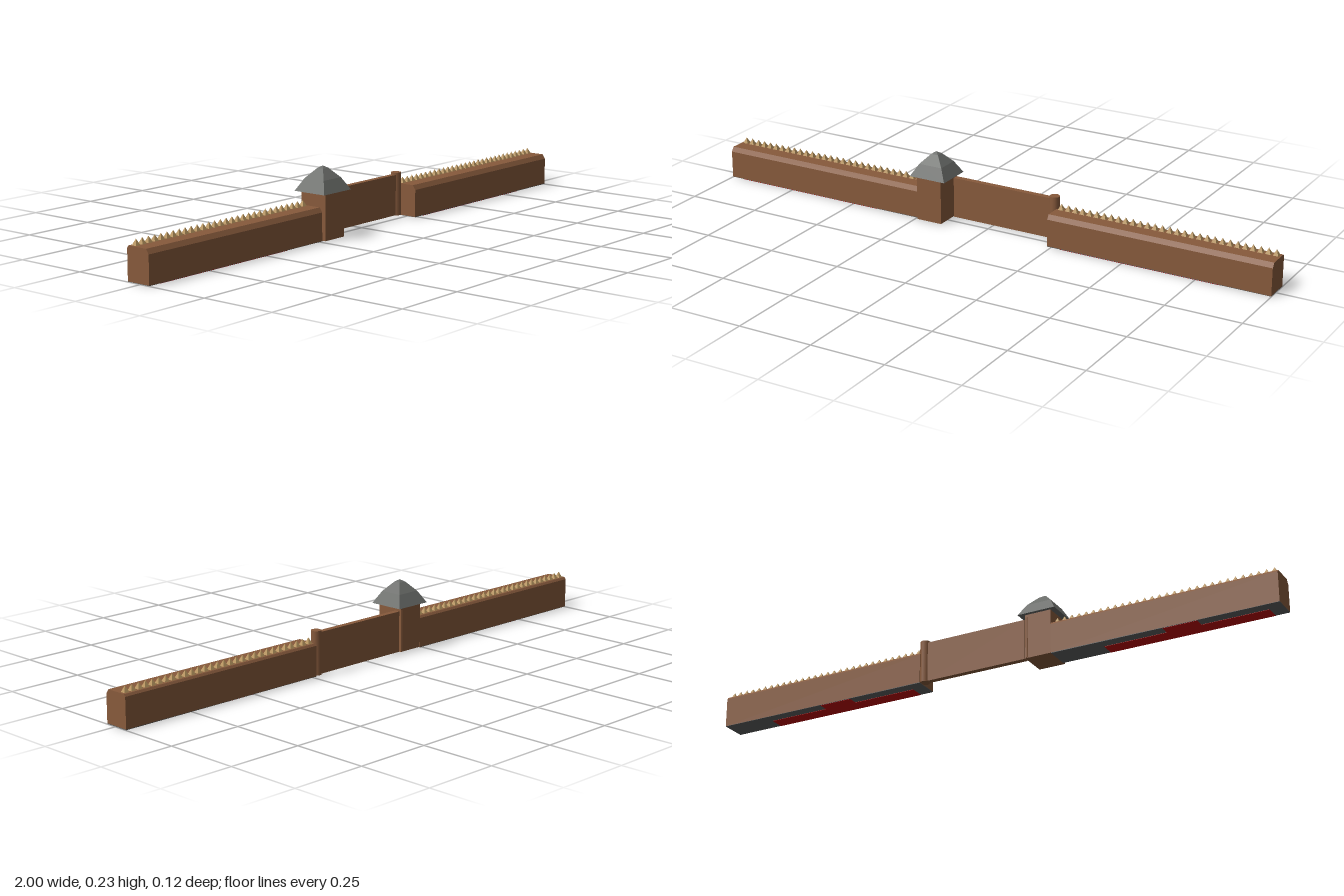
import * as THREE from 'three';

const mat = (name, color) => {
  const m = new THREE.MeshStandardMaterial({ color });
  m.name = name;
  return m;
};

export function createModel() {
  const model = new THREE.Group();
  model.name = 'palisadeWithGate';
  const wood = mat('brown wood', 0x875a3c);
  const slate = mat('roof grey', 0x6a6c69);
  const tan = mat('stake tan', 0xb8955f);
  const dark = mat('base dark grey', 0x5e5f5f);
  const red = mat('base dark red', 0xc00000);

  const add = (parent, name, geo, material, x = 0, y = 0, z = 0) => {
    const mesh = new THREE.Mesh(geo, material);
    mesh.name = name;
    mesh.position.set(x, y, z);
    parent.add(mesh);
    return mesh;
  };
  const box = (parent, name, material, x0, x1, y0, y1, z0, z1) =>
    add(parent, name, new THREE.BoxGeometry(x1 - x0, y1 - y0, z1 - z0), material,
      (x0 + x1) / 2, (y0 + y1) / 2, (z0 + z1) / 2);

  // Wall section: chamfered bar with a row of stakes and a two-tone underside
  const profile = [[0.036, 0.002], [0.036, 0.093], [0.026, 0.108],
    [-0.045, 0.108], [-0.05, 0.101], [-0.05, 0.002]];
  const stake = new THREE.ConeGeometry(0.0135, 0.021, 4).toNonIndexed();
  stake.rotateY(Math.PI / 4);
  stake.computeVertexNormals();
  const makeWall = (name, x0, x1) => {
    const wall = new THREE.Group();
    wall.name = name;
    const len = x1 - x0;
    const shape = new THREE.Shape(profile.map(([z, y]) => new THREE.Vector2(-z, y)));
    const bar = new THREE.ExtrudeGeometry(shape, { depth: len, bevelEnabled: false });
    bar.rotateY(Math.PI / 2);
    add(wall, 'wallBar', bar, wood, x0);
    box(wall, 'wallBase', dark, x0, x1, 0.001, 0.003, -0.05, 0.036);
    // Red underside patch: a long front strip with a short arm to the back
    box(wall, 'baseRedStrip', red, x1 - len * 0.94, x1 - len * 0.22, 0, 0.0015, -0.014, 0.0355);
    box(wall, 'baseRedArm', red, x1 - len * 0.65, x1 - len * 0.5, 0, 0.0015, -0.048, -0.014);
    const count = 30;
    for (let i = 0; i < count; i++) {
      const x = x0 + 0.016 + (len - 0.032) * i / (count - 1);
      add(wall, 'stake', stake, tan, x, 0.117, -0.03);
    }
    model.add(wall);
  };
  makeWall('rightWall', -1, -0.24);
  makeWall('leftWall', 0.236, 1);

  // Watchtower
  const tower = new THREE.Group();
  tower.name = 'tower';
  model.add(tower);
  box(tower, 'towerBody', wood, -0.24, -0.149, 0.003, 0.155, -0.049, 0.049);

  // Curved four-sided roof: square rings narrowing to a point
  const rings = [[0, 0.153], [0.061, 0.153], [0.039, 0.193], [0.012, 0.224], [0, 0.232]];
  const roof = new THREE.LatheGeometry(
    rings.map(([r, y]) => new THREE.Vector2(r * Math.SQRT2, y)), 4, Math.PI / 4).toNonIndexed();
  roof.scale(1.07, 1, 1);
  roof.computeVertexNormals();
  add(tower, 'towerRoof', roof, slate, -0.194);

  // Gate panel with its hinge pole and latch post
  const gate = new THREE.Group();
  gate.name = 'gate';
  model.add(gate);
  box(gate, 'gatePanel', wood, -0.145, 0.215, 0.004, 0.14, -0.045, -0.026);
  add(gate, 'hingePole', new THREE.CylinderGeometry(0.005, 0.005, 0.14, 10), wood, -0.155, 0.074, -0.046);
  add(gate, 'gatePost', new THREE.CylinderGeometry(0.017, 0.017, 0.144, 12), wood, 0.224, 0.075, -0.036);

  return model;
}
